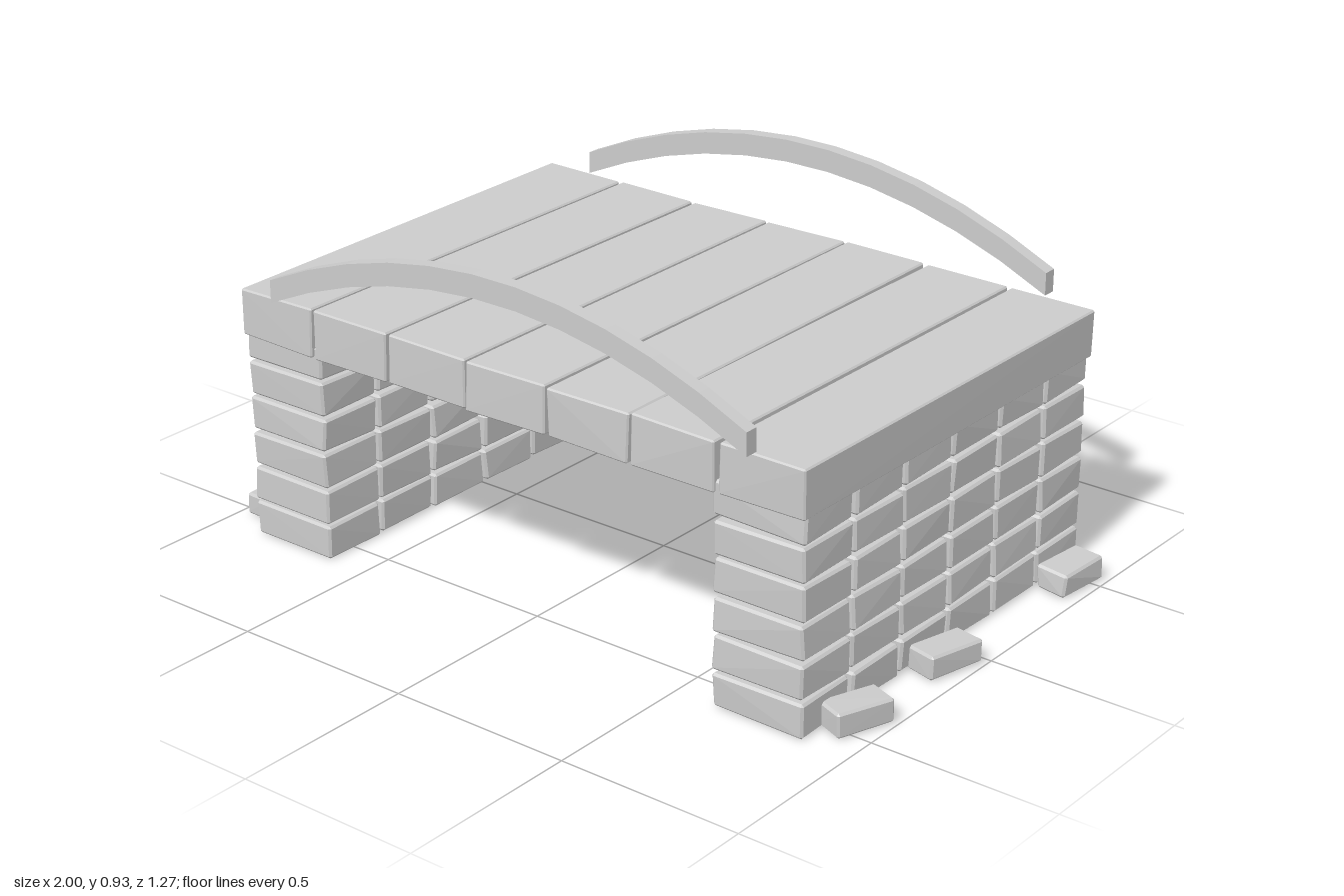
import * as THREE from 'three';
import { ConvexGeometry } from 'three/addons/geometries/ConvexGeometry.js';

const material = new THREE.MeshStandardMaterial({ color: 0xcccccc, flatShading: true });

// Small seeded generator, returns -1..1
let seed = 7;
function rand() {
  seed = (seed * 16807) % 2147483647;
  return (seed / 2147483647) * 2 - 1;
}

// Stone block with chamfered edges and slightly uneven corners
function stone(name, w, h, d, bevel, wobble) {
  const points = [];
  for (const sx of [-1, 1]) for (const sy of [-1, 1]) for (const sz of [-1, 1]) {
    const corner = new THREE.Vector3(
      sx * (w / 2 - Math.abs(rand()) * wobble),
      sy * (h / 2 - Math.abs(rand()) * wobble),
      sz * (d / 2 - Math.abs(rand()) * wobble));
    // three points per corner, one on each adjoining face
    for (const face of [0, 1, 2]) {
      const inset = [sx, sy, sz].map((s, axis) => (axis === face ? 0 : -s * bevel));
      points.push(corner.clone().add(new THREE.Vector3(...inset)));
    }
  }
  const mesh = new THREE.Mesh(new ConvexGeometry(points), material);
  mesh.name = name;
  return mesh;
}

// Pier of six courses, six bricks each
function createPier(name, x) {
  const pier = new THREE.Group();
  pier.name = name;
  for (let row = 0; row < 6; row++) {
    for (let col = 0; col < 6; col++) {
      const brick = stone('brick', 0.264, 0.095, 0.195, 0.006, 0.006);
      brick.position.set(x, 0.054 + row * 0.0985, -0.5 + col * 0.2);
      pier.add(brick);
    }
  }
  return pier;
}

// Deck of seven slabs laid across the bridge
function createDeck() {
  const deck = new THREE.Group();
  deck.name = 'deck';
  for (let i = -3; i <= 3; i++) {
    const slab = stone('deckSlab', 0.248, 0.134, 1.216, 0.004, 0.006);
    slab.position.set(i * 0.252, 0.628, 0);
    deck.add(slab);
  }
  return deck;
}

// Arched rail made of eleven sheared segments with upright ends
function createRail(name, z) {
  const rail = new THREE.Group();
  rail.name = name;
  const count = 11, half = 0.737, step = (2 * half) / count;
  const top = x => 0.935 - 0.18 * (x / half) ** 2;
  for (let i = 0; i < count; i++) {
    const x0 = -half + i * step, x1 = x0 + step;
    const shape = new THREE.Shape([
      new THREE.Vector2(x0, top(x0) - 0.06), new THREE.Vector2(x1, top(x1) - 0.06),
      new THREE.Vector2(x1, top(x1)), new THREE.Vector2(x0, top(x0))]);
    const geometry = new THREE.ExtrudeGeometry(shape, { depth: 0.037, bevelEnabled: false });
    geometry.translate(0, 0, z - 0.0185);
    const segment = new THREE.Mesh(geometry, material);
    segment.name = 'railSegment';
    rail.add(segment);
  }
  return rail;
}

export function createModel() {
  seed = 7;
  const bridge = new THREE.Group();
  bridge.name = 'stoneBridge';
  bridge.add(createPier('leftPier', 0.742), createPier('rightPier', -0.742));
  bridge.add(createDeck());
  bridge.add(createRail('frontRail', 0.617), createRail('backRail', -0.617));

  // Loose stones at the foot of the piers: x, z, turn
  const loose = [
    [0.93, -0.465, -0.08], [0.925, 0.09, -0.25], [0.922, 0.45, -0.37],
    [-0.93, -0.465, -0.08], [-0.932, 0.085, -0.42], [-0.927, 0.455, -0.04],
  ];
  for (const [x, z, turn] of loose) {
    const rock = stone('looseStone', 0.095, 0.068, 0.168, 0.006, 0.006);
    rock.position.set(x, 0.041, z);
    rock.rotation.y = turn;
    bridge.add(rock);
  }
  return bridge;
}
